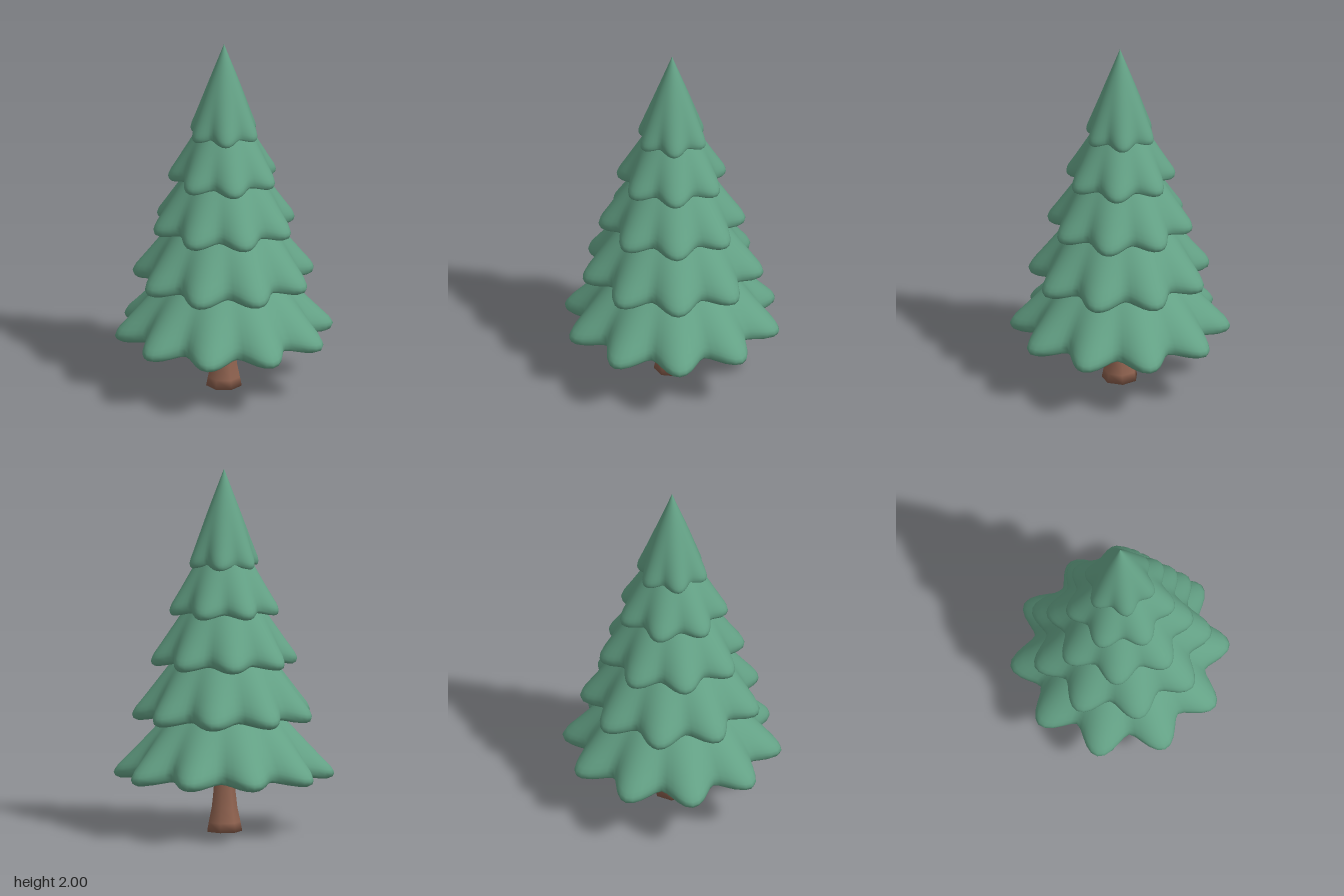
import * as THREE from 'three';

const green = new THREE.MeshStandardMaterial({ color: 0x64a286 });
green.name = 'needleGreen';
const brown = new THREE.MeshStandardMaterial({ color: 0x906350 });
brown.name = 'barkBrown';

// One skirt of branches: lobe count, lobe and valley radius, rim height, cone height, lip size, hollow depth
const TIERS = [
  { n: 10, R: 0.603, V: 0.474, y: 0.343, h: 0.64, lip: 0.05, hollow: 0.27 },
  { n: 9, R: 0.503, V: 0.4, y: 0.667, h: 0.65, lip: 0.05, hollow: 0.15 },
  { n: 8, R: 0.403, V: 0.32, y: 0.965, h: 0.59, lip: 0.046, hollow: 0.13 },
  { n: 7, R: 0.306, V: 0.24, y: 1.242, h: 0.51, lip: 0.042, hollow: 0.11 },
  { n: 6, R: 0.2, V: 0.155, y: 1.497, h: 0.503, lip: 0.036, hollow: 0.09 },
];

function tierGeometry({ n, R, V, y, h, lip, hollow }) {
  // Rings as [radius fraction, height]: outer cone, rounded lip, broad flat underside, hollow
  const rings = [];
  for (let i = 0; i <= 14; i++) {
    const s = (i / 14) * 0.96;
    rings.push([s, y + h * Math.pow(1 - s, 1.04)]);
  }
  rings.push(
    [0.988, y - lip * 0.05], [1, y - lip * 0.4], [0.985, y - lip * 0.8], [0.945, y - lip],
    [0.88, y - lip * 0.98], [0.8, y - lip * 0.85], [0.72, y - lip * 0.6],
  );
  for (let i = 1; i <= 6; i++) {
    rings.push([0.72 - i * 0.108, y - lip * 0.6 + hollow * Math.pow(i / 6, 0.9)]);
  }

  const seg = n * 10, pos = [], index = [];
  rings.forEach(([s, ry]) => {
    for (let j = 0; j < seg; j++) {
      const a = (j / seg) * Math.PI * 2;
      const lobe = Math.pow(0.5 + 0.5 * Math.cos(n * a), 0.87);
      // Folds fade out towards the trunk
      const r = s * (R - (R - V) * (1 - lobe) * Math.pow(s, 2.5));
      pos.push(r * Math.cos(a), ry + lip * 0.75 * (1 - lobe) * s * s * s, r * Math.sin(a));
    }
  });
  for (let i = 0; i < rings.length - 1; i++) {
    for (let j = 0; j < seg; j++) {
      const k = (j + 1) % seg;
      const a = i * seg + j, b = i * seg + k, c = a + seg, d = b + seg;
      if (i > 0) index.push(a, b, c);
      index.push(b, d, c);
    }
  }
  const geo = new THREE.BufferGeometry();
  geo.setAttribute('position', new THREE.Float32BufferAttribute(pos, 3));
  geo.setIndex(index);
  geo.computeVertexNormals();
  return geo;
}

export function createModel() {
  const tree = new THREE.Group();
  tree.name = 'pineTree';

  const add = (name, geo, mat) => {
    const mesh = new THREE.Mesh(geo, mat);
    mesh.name = name;
    tree.add(mesh);
  };

  // Flared seven-sided trunk with a closed, softly shaded foot
  const profile = [[0, 0], [0.1, 0], [0.09, 0.05], [0.073, 0.13], [0.063, 0.22], [0.055, 0.33], [0.047, 0.6]]
    .map(([r, y]) => new THREE.Vector2(r, y));
  add('trunk', new THREE.LatheGeometry(profile, 7), brown);

  // Overlapping branch skirts, widest at the bottom
  TIERS.forEach((t, i) => add('branchTier' + (i + 1), tierGeometry(t), green));

  return tree;
}
